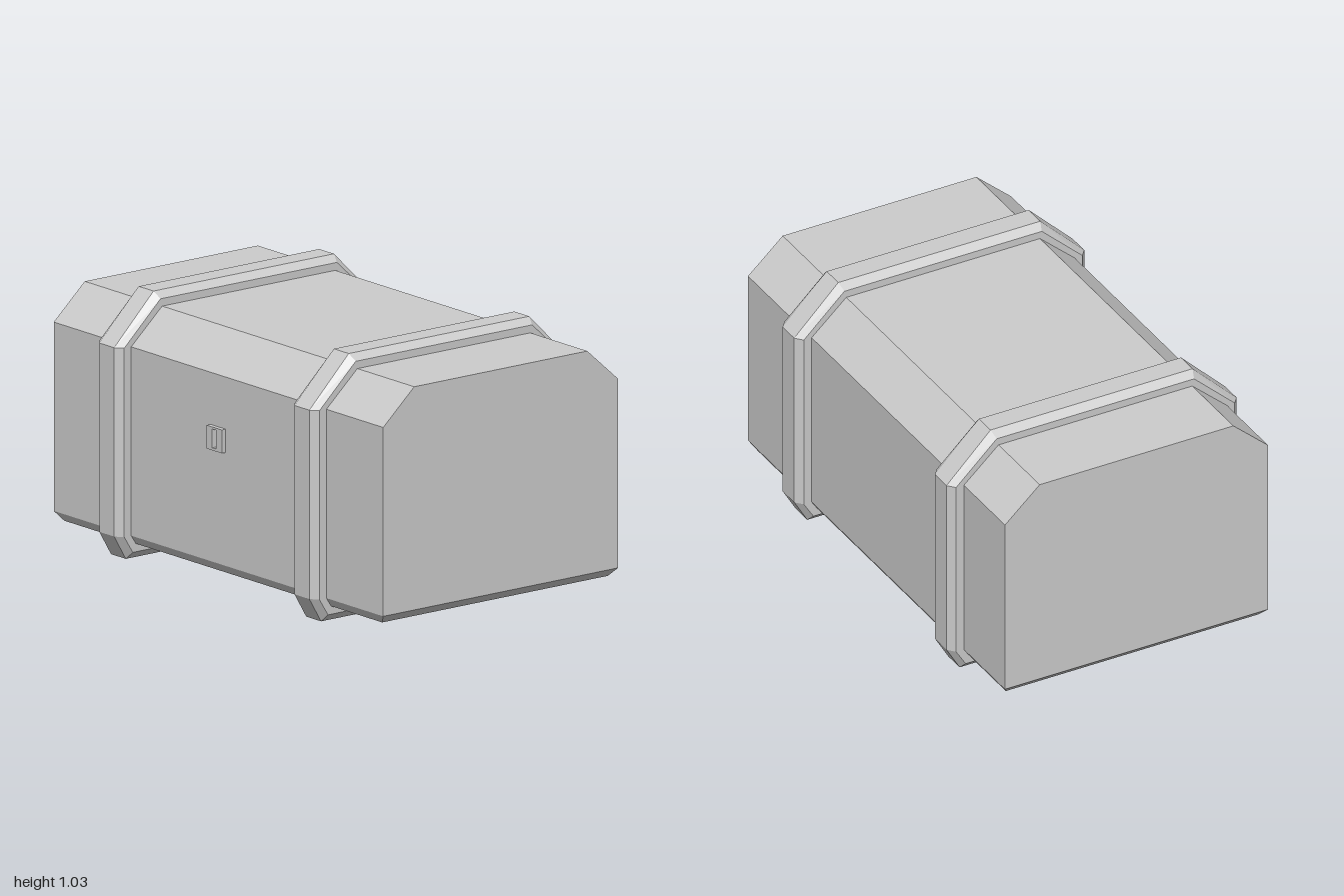
import * as THREE from 'three';
import { ConvexGeometry } from 'three/addons/geometries/ConvexGeometry.js';

const material = new THREE.MeshStandardMaterial({ color: 0xcccccc, flatShading: true });

function addMesh(parent, name, geometry) {
  const mesh = new THREE.Mesh(geometry, material);
  mesh.name = name;
  parent.add(mesh);
  return mesh;
}

// Front half of a [z, y] profile, bottom to top, mirrored into a full loop
const closeProfile = (half) => [...half, ...half.map(([z, y]) => [-z, y]).reverse()];

// Chest body: six-sided section with a chamfered underside
function bodyGeometry() {
  const corners = [
    [1, 0.097, 0.573], [1, 0.84, 0.573], [1, 0.975, 0.422], [0.965, 0.062, 0.55],
  ];
  const points = [];
  for (const [x, y, z] of corners)
    for (const sx of [1, -1])
      for (const sz of [1, -1]) points.push(new THREE.Vector3(sx * x, y, sz * z));
  return new ConvexGeometry(points);
}

// Strap: bevelled band wrapped around the body, lofted along x
function strapGeometry() {
  const inner = closeProfile([[0.53, 0.08], [0.56, 0.1], [0.56, 0.835], [0.415, 0.965]]);
  const side = closeProfile([[0.565, 0.03], [0.607, 0.097], [0.607, 0.84], [0.43, 1.005]]);
  const outer = closeProfile([[0.575, 0], [0.632, 0.097], [0.632, 0.84], [0.44, 1.031]]);
  const rings = [[-0.075, inner], [-0.075, side], [-0.045, outer],
    [0.045, outer], [0.075, side], [0.075, inner]];
  const n = inner.length;
  const positions = [];
  const index = [];
  rings.forEach(([x, ring]) => ring.forEach(([z, y]) => positions.push(x, y, z)));
  for (let r = 0; r < rings.length - 1; r++) {
    for (let j = 0; j < n; j++) {
      const k = (j + 1) % n;
      const a = r * n + j, b = (r + 1) * n + j, c = (r + 1) * n + k, d = r * n + k;
      index.push(a, b, c, a, c, d);
    }
  }
  const indexed = new THREE.BufferGeometry();
  indexed.setAttribute('position', new THREE.Float32BufferAttribute(positions, 3));
  indexed.setIndex(index);
  const geometry = indexed.toNonIndexed();
  geometry.computeVertexNormals();
  return geometry;
}

function rectangle(Type, x0, y0, x1, y1) {
  return new Type([[x0, y0], [x1, y0], [x1, y1], [x0, y1]].map(([x, y]) => new THREE.Vector2(x, y)));
}

// Lock plate with a vertical slot
function lockGeometry() {
  const plate = rectangle(THREE.Shape, -0.048, 0.543, 0.044, 0.635);
  plate.holes.push(rectangle(THREE.Path, -0.015, 0.553, 0.009, 0.627));
  return new THREE.ExtrudeGeometry(plate, { depth: 0.03, bevelEnabled: false });
}

export function createModel() {
  const chest = new THREE.Group();
  chest.name = 'chest';

  addMesh(chest, 'body', bodyGeometry());

  const strap = strapGeometry();
  addMesh(chest, 'rightStrap', strap).position.x = -0.605;
  addMesh(chest, 'leftStrap', strap).position.x = 0.58;

  addMesh(chest, 'lockPlate', lockGeometry()).position.z = 0.562;

  return chest;
}
